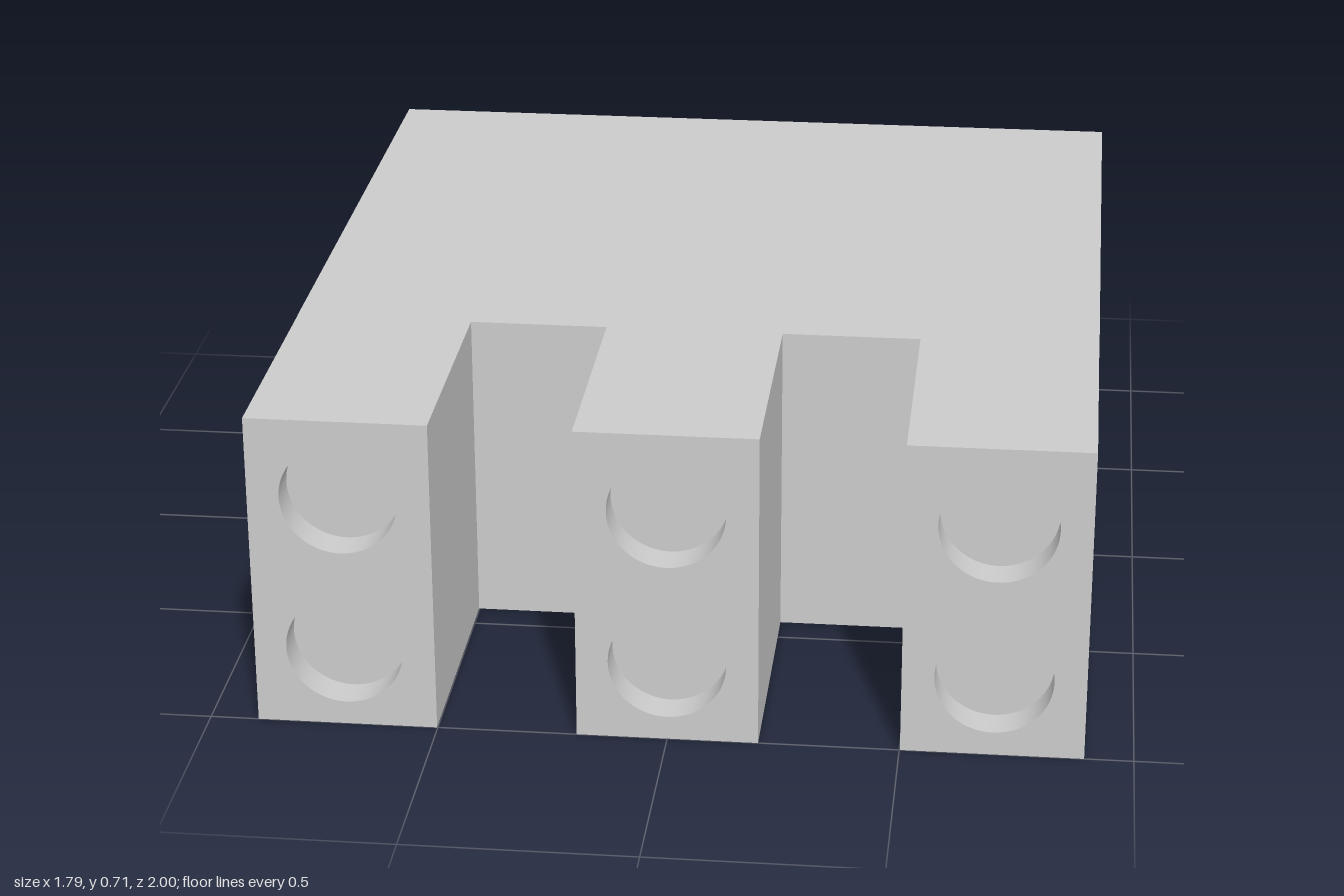
import * as THREE from 'three';

const WIDTH = 1.79, HEIGHT = 0.715, STEP_Z = 0.425;
const LEG_W = 0.393, RECESS = 0.08, HOLE_R = 0.127;
const LEG_X = [-0.698, 0, 0.698];
const HOLE_Y = [0.18, 0.536];

export function createModel() {
  const group = new THREE.Group();
  const material = new THREE.MeshStandardMaterial({ color: 0xcccccc });

  const add = (parent, name, geometry, x, y, z) => {
    const mesh = new THREE.Mesh(geometry, material);
    mesh.name = name;
    mesh.position.set(x, y, z);
    parent.add(mesh);
  };

  // Solid rear block
  add(group, 'body', new THREE.BoxGeometry(WIDTH, HEIGHT, 1 + STEP_Z), 0, HEIGHT / 2, (STEP_Z - 1) / 2);

  // Front face of a prong, pierced by two round holes
  const face = new THREE.Shape([
    new THREE.Vector2(-LEG_W / 2, 0),
    new THREE.Vector2(LEG_W / 2, 0),
    new THREE.Vector2(LEG_W / 2, HEIGHT),
    new THREE.Vector2(-LEG_W / 2, HEIGHT),
  ]);
  for (const y of HOLE_Y) {
    face.holes.push(new THREE.Path().absarc(0, y, HOLE_R, 0, Math.PI * 2, true));
  }
  const faceGeometry = new THREE.ExtrudeGeometry(face, { depth: RECESS, bevelEnabled: false, curveSegments: 48 });

  // Three prongs; the solid part behind each face forms the floor of its recesses
  const legDepth = 1 - RECESS - STEP_Z;
  const legGeometry = new THREE.BoxGeometry(LEG_W, HEIGHT, legDepth);
  LEG_X.forEach((x, i) => {
    const prong = new THREE.Group();
    prong.name = ['rightProng', 'middleProng', 'leftProng'][i];
    prong.position.x = x;
    add(prong, 'prongBlock', legGeometry, 0, HEIGHT / 2, STEP_Z + legDepth / 2);
    add(prong, 'recessedFace', faceGeometry, 0, 0, 1 - RECESS);
    group.add(prong);
  });

  return group;
}
